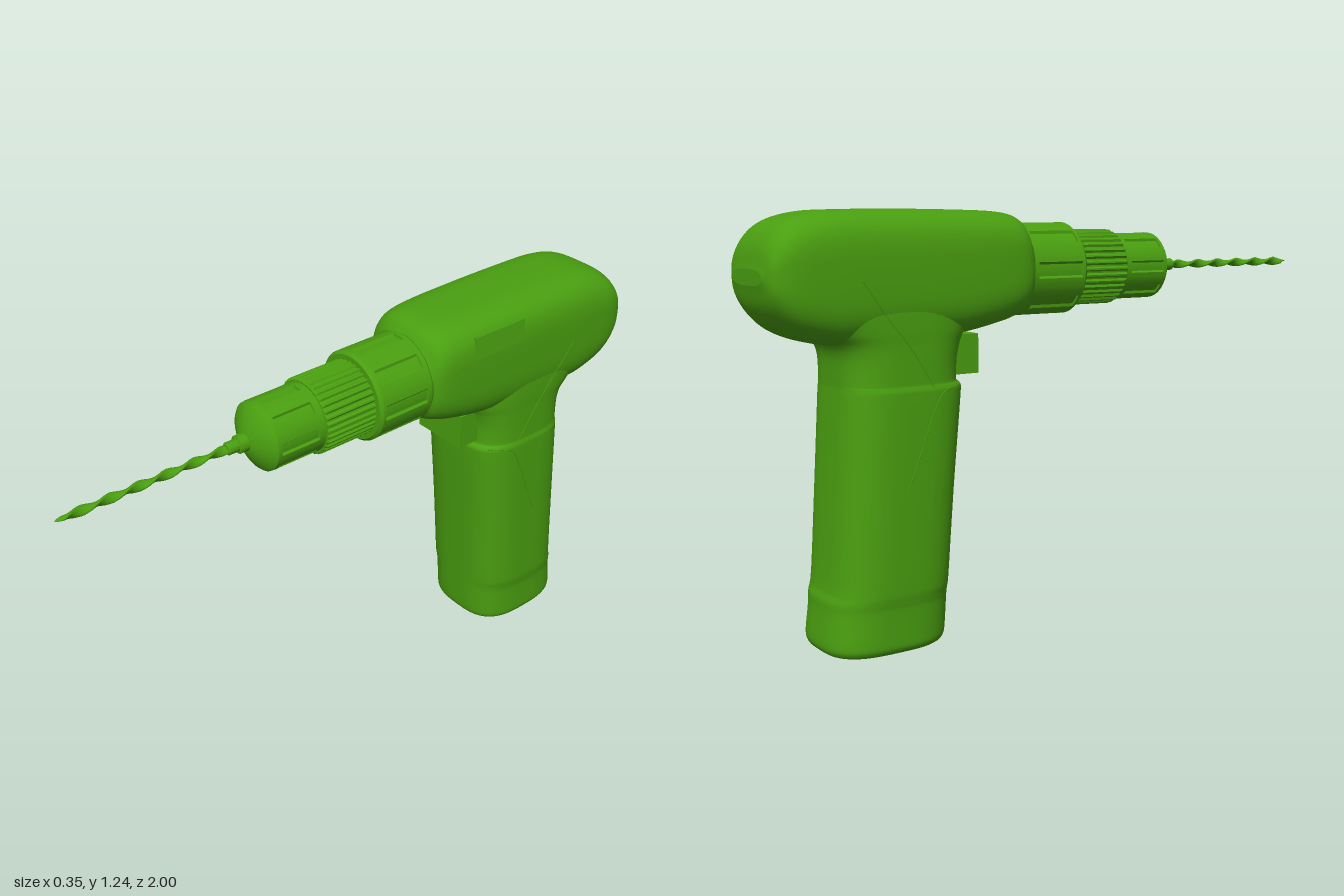
import * as THREE from 'three';
import { toCreasedNormals } from 'three/addons/utils/BufferGeometryUtils.js';

const material = new THREE.MeshStandardMaterial({ color: 0x4a9f10 });
const AXIS_X = 0.008, AXIS_Y = 1.062; // axis of the chuck and bit

// Skin closed rings of Vector3 and cap both ends
function loft(rings, crease) {
  const n = rings[0].length, pos = [], idx = [];
  rings.forEach(r => r.forEach(p => pos.push(p.x, p.y, p.z)));
  for (let i = 0; i < rings.length - 1; i++) {
    for (let j = 0; j < n; j++) {
      const k = (j + 1) % n, a = i * n + j, b = i * n + k;
      idx.push(a, b, a + n, b, b + n, a + n);
    }
  }
  [[rings[0], true], [rings[rings.length - 1], false]].forEach(([ring, start]) => {
    const base = pos.length / 3, c = new THREE.Vector3();
    ring.forEach(p => { pos.push(p.x, p.y, p.z); c.addScaledVector(p, 1 / n); });
    pos.push(c.x, c.y, c.z);
    for (let j = 0; j < n; j++) {
      const k = (j + 1) % n;
      if (start) idx.push(base + n, base + k, base + j);
      else idx.push(base + n, base + j, base + k);
    }
  });
  const g = new THREE.BufferGeometry();
  g.setAttribute('position', new THREE.Float32BufferAttribute(pos, 3));
  g.setIndex(idx);
  if (crease) return toCreasedNormals(g, crease);
  g.computeVertexNormals();
  return g;
}

// Smoothly subdivide rows of section numbers
function refine(rows, steps) {
  const out = [];
  for (let i = 0; i < rows.length - 1; i++) {
    const [p, a, b, q] = [rows[Math.max(i - 1, 0)], rows[i], rows[i + 1], rows[Math.min(i + 2, rows.length - 1)]];
    // limit tangents so that uneven spacing does not overshoot
    const slope = (l, m, r) => (m - l) * (r - m) <= 0 ? 0 : Math.sign(r - m) * Math.min(Math.abs(r - l) / 2, 2 * Math.abs(m - l), 2 * Math.abs(r - m));
    for (let s = 0; s < steps; s++) {
      const t = s / steps, t2 = t * t, t3 = t2 * t;
      out.push(a.map((v, c) => {
        const m0 = i === 0 ? b[c] - v : slope(p[c], v, b[c]);
        const m1 = i === rows.length - 2 ? b[c] - v : slope(v, b[c], q[c]);
        return (2 * t3 - 3 * t2 + 1) * v + (t3 - 2 * t2 + t) * m0 + (3 * t2 - 2 * t3) * b[c] + (t3 - t2) * m1;
      }));
    }
  }
  out.push(rows[rows.length - 1]);
  return out;
}

// Rounded-square outline with half sizes a, b and squareness e
function superellipse(a, b, e, n = 64) {
  return Array.from({ length: n }, (_, i) => {
    const t = (i / n) * Math.PI * 2, c = Math.cos(t), s = Math.sin(t);
    return [a * Math.sign(c) * Math.abs(c) ** (2 / e), b * Math.sign(s) * Math.abs(s) ** (2 / e)];
  });
}

// Turned part along z; rows are [z, radius, groove depth], grooved(angle) is 0 or 1
function turned(rows, grooved = () => 0, n = 144) {
  return loft(rows.map(([z, r, d = 0]) => Array.from({ length: n }, (_, i) => {
    const t = (i / n) * Math.PI * 2, q = r - d * grooved(t, i);
    return new THREE.Vector3(AXIS_X + q * Math.cos(t), AXIS_Y + q * Math.sin(t), z);
  })), 0.5);
}

export function createModel() {
  const model = new THREE.Group();
  const add = (name, geometry) => {
    const mesh = new THREE.Mesh(geometry, material);
    mesh.name = name;
    model.add(mesh);
    return mesh;
  };

  // Motor housing: [z, top, bottom, half width, squareness]
  const housingRows = [
    [-1.0, 1.085, 1.04, 0.1, 2.6],
    [-0.985, 1.145, 0.985, 0.14, 3],
    [-0.955, 1.19, 0.94, 0.159, 3.2],
    [-0.91, 1.218, 0.905, 0.168, 3.4],
    [-0.84, 1.235, 0.88, 0.171, 3.5],
    [-0.76, 1.24, 0.872, 0.172, 3.6],
    [-0.58, 1.242, 0.875, 0.172, 3.6],
    [-0.4, 1.24, 0.885, 0.171, 3.6],
    [-0.26, 1.235, 0.91, 0.166, 3.4],
    [-0.2, 1.222, 0.926, 0.157, 3],
    [-0.17, 1.192, 0.935, 0.14, 2.4],
  ];
  const housing = add('motorHousing', loft(refine(housingRows, 5).map(([z, top, bot, w, e]) =>
    superellipse(w, (top - bot) / 2, e).map(([x, y]) => new THREE.Vector3(x, (top + bot) / 2 + y, z)))));

  // Handle: [y, front z, back z, half width, squareness]
  const handleRows = [
    [0, -0.475, -0.822, 0.152, 3],
    [0.008, -0.464, -0.83, 0.16, 3],
    [0.03, -0.457, -0.835, 0.166, 3],
    [0.12, -0.45, -0.824, 0.166, 3],
    [0.15, -0.448, -0.822, 0.169, 3],
    [0.18, -0.446, -0.812, 0.172, 3.1],
    [0.45, -0.425, -0.79, 0.173, 3.2],
    [0.738, -0.399, -0.769, 0.172, 3.4],
    [0.752, -0.403, -0.768, 0.169, 3.4],
    [0.762, -0.412, -0.768, 0.167, 3.3],
    [0.82, -0.408, -0.77, 0.167, 3.2],
    [0.87, -0.395, -0.785, 0.167, 3.2],
    [0.91, -0.375, -0.83, 0.168, 3.2],
    [0.98, -0.36, -0.89, 0.167, 3.2],
    [1.08, -0.36, -0.9, 0.16, 3.2],
  ];
  const handle = add('handle', loft(refine(handleRows, 4).map(([y, f, b, w, e]) =>
    superellipse((f - b) / 2, w, e).map(([z, x]) => new THREE.Vector3(x, y, (f + b) / 2 + z)))));

  // Trigger
  const trigger = add('trigger', new THREE.BoxGeometry(0.19, 0.115, 0.12));
  trigger.position.set(-0.002, 0.828, -0.403);

  // Side plate on the left of the housing
  const plate = add('sidePlate', new THREE.BoxGeometry(0.014, 0.068, 0.2));
  plate.position.set(0.16, 1.163, -0.42);
  plate.rotation.z = 0.13;

  // Shell seams laid onto the surface on both sides
  const ray = new THREE.Raycaster();
  const seams = [
    [[1.05, -0.745], [0.96, -0.68], [0.86, -0.6], [0.75, -0.53]],
    [[0.75, -0.43], [0.735, -0.5], [0.67, -0.54], [0.58, -0.575], [0.46, -0.625]],
  ];
  for (const side of [1, -1]) {
    for (const seam of seams) {
      const flat = new THREE.CatmullRomCurve3(seam.map(([y, z]) => new THREE.Vector3(0, y, z))).getPoints(24);
      const points = flat.map(p => {
        ray.set(new THREE.Vector3(side, p.y, p.z), new THREE.Vector3(-side, 0, 0));
        const hit = ray.intersectObjects([housing, handle])[0];
        return new THREE.Vector3(hit ? hit.point.x : side * 0.165, p.y, p.z);
      });
      add('shellSeam', new THREE.TubeGeometry(new THREE.CatmullRomCurve3(points), 40, 0.0018, 5));
    }
  }

  // Torque collar, knurled sleeve and chuck
  const slots = t => (Math.abs(((t + Math.PI / 8) % (Math.PI / 4)) - Math.PI / 8) < 0.14 ? 1 : 0);
  add('torqueCollar', turned([
    [-0.19, 0.12], [-0.175, 0.134], [-0.165, 0.14], [-0.15, 0.14], [-0.149, 0.14, 0.007],
    [0.01, 0.14, 0.007], [0.011, 0.14], [0.02, 0.14], [0.03, 0.131],
  ], slots));
  add('knurledSleeve', turned([[0.02, 0.117, 0.006], [0.197, 0.117, 0.006], [0.203, 0.112, 0.003]],
    (t, i) => (i % 4 < 2 ? 0 : 1)));
  add('chuck', turned([
    [0.19, 0.105], [0.225, 0.105], [0.226, 0.105, 0.007], [0.355, 0.105, 0.007], [0.356, 0.105],
    [0.368, 0.104], [0.376, 0.096], [0.392, 0.068], [0.408, 0.034], [0.41, 0.026],
  ], slots));
  add('chuckNose', turned([[0.4, 0.027], [0.435, 0.027], [0.438, 0.019], [0.468, 0.019], [0.472, 0.015]], undefined, 24));

  // Twisted drill bit with a pointed tip
  const bitRings = [];
  for (let i = 0; i <= 120; i++) {
    const z = 0.46 + 0.54 * (i / 120), taper = Math.min(1, (1.0005 - z) / 0.03), turn = -(z - 0.46) * 36;
    bitRings.push(superellipse(0.0145 * taper, 0.007 * taper, 2, 16).map(([u, v]) => new THREE.Vector3(
      AXIS_X + u * Math.cos(turn) - v * Math.sin(turn),
      AXIS_Y + u * Math.sin(turn) + v * Math.cos(turn), z)));
  }
  add('drillBit', loft(bitRings));

  return model;
}
